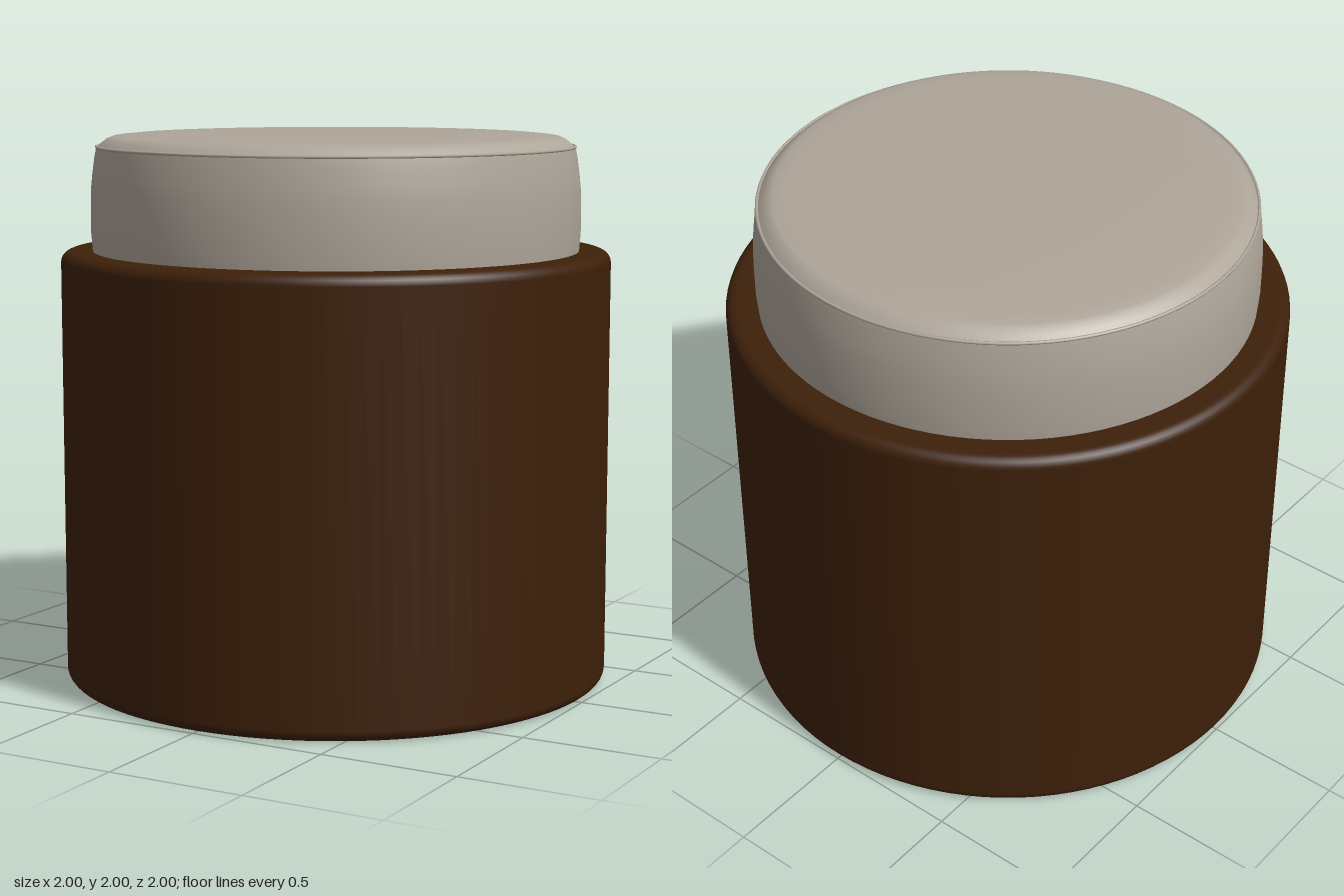
import * as THREE from 'three';

export function createModel() {
  const group = new THREE.Group();
  group.name = 'roundPouf';

  const brown = new THREE.MeshStandardMaterial({ color: 0x3d2009 });
  brown.name = 'dark brown';
  const fabric = new THREE.MeshStandardMaterial({ color: 0xafa69a });
  fabric.name = 'warm grey fabric';

  // Revolves a profile of [radius, height] points, listed from bottom to top
  function lathe(name, points, material) {
    const profile = points.map(([r, y]) => new THREE.Vector2(r, y));
    const mesh = new THREE.Mesh(new THREE.LatheGeometry(profile, 96), material);
    mesh.name = name;
    group.add(mesh);
  }

  // Quarter-round edge about a centre, from one angle to another
  function arc(cr, cy, radius, from, to, steps = 6) {
    return Array.from({ length: steps + 1 }, (_, i) => {
      const a = from + ((to - from) * i) / steps;
      return [cr + radius * Math.cos(a), cy + radius * Math.sin(a)];
    });
  }

  // Drum with softly rounded rims and a shallow dished underside
  const edge = 0.04;
  lathe('base', [
    [0, 0.06], [0.72, 0.06], [0.78, 0.055], [0.86, 0.03], [0.93, 0.005],
    ...arc(1 - edge, edge, edge, -Math.PI / 2, 0),
    ...arc(1 - edge, 1.575 - edge, edge, 0, Math.PI / 2),
    [0.9, 1.575],
  ], brown);

  // Flat seat that closes the drum under the cushion
  lathe('baseTop', [[0.9, 1.575], [0, 1.575]], brown);

  // Cushion side, leaning inwards near the top
  lathe('cushionSide', [
    [0.885, 1.575], [0.89, 1.64], [0.89, 1.73], [0.888, 1.8],
    [0.883, 1.85], [0.875, 1.91], [0.868, 1.945],
  ], fabric);

  // Thin piping around the seam
  lathe('cushionPiping', arc(0.866, 1.949, 0.006, -Math.PI / 2, Math.PI), fabric);

  // Gently crowned cushion top
  lathe('cushionTop', [
    [0.862, 1.95], [0.848, 1.964], [0.83, 1.978], [0.81, 1.986],
    [0.76, 1.991], [0.65, 1.994], [0.4, 1.998], [0, 2],
  ], fabric);

  return group;
}
